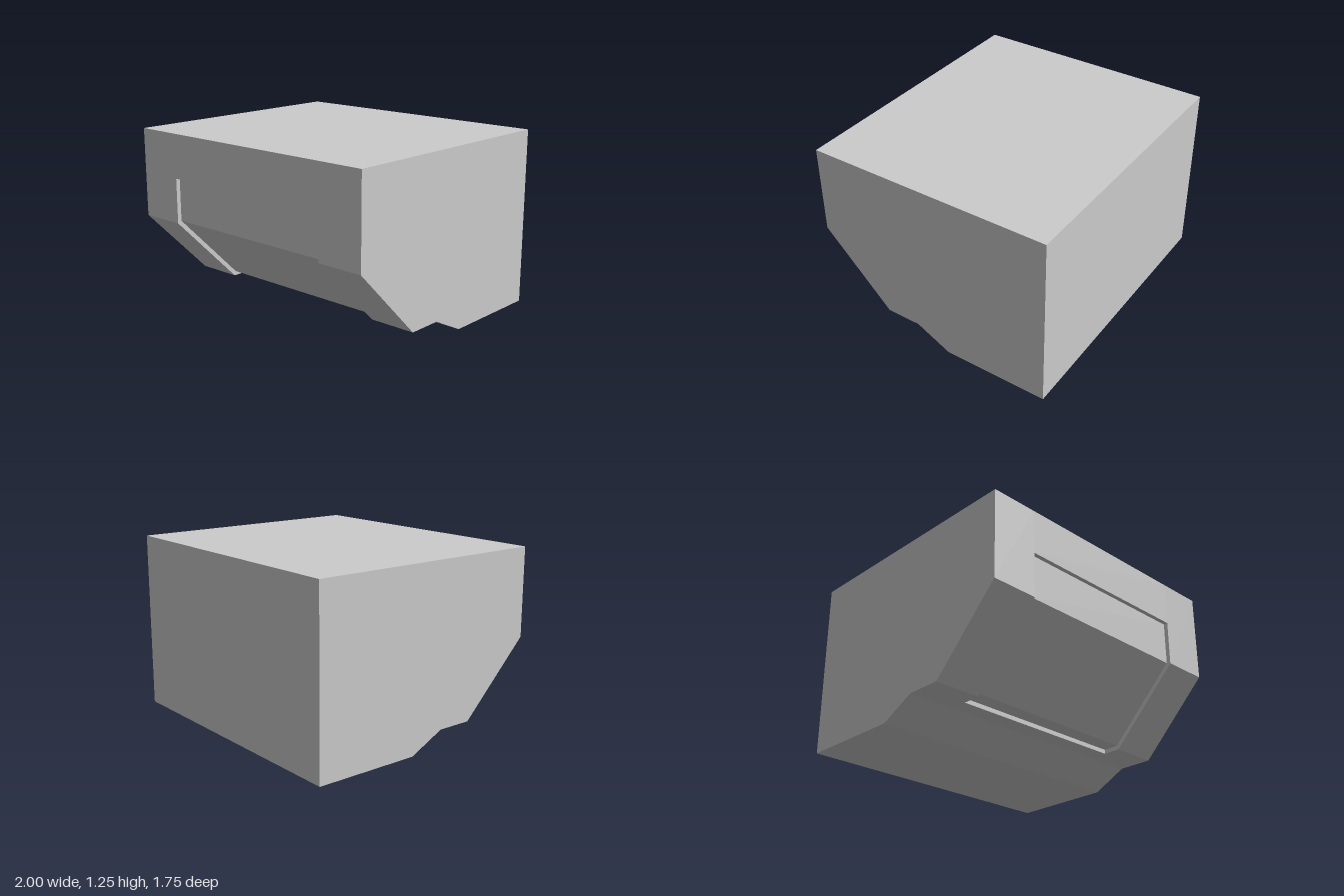
import * as THREE from 'three';

const material = new THREE.MeshStandardMaterial({ color: 0xcccccc, flatShading: true });

// Extrudes a side profile of [z, y] points across the width, centred on x
function slab(name, profile, width, x) {
  const shape = new THREE.Shape(profile.map(([z, y]) => new THREE.Vector2(z, y)));
  const geometry = new THREE.ExtrudeGeometry(shape, { depth: width, bevelEnabled: false });
  geometry.translate(0, 0, -width / 2);
  geometry.rotateY(-Math.PI / 2);
  const mesh = new THREE.Mesh(geometry, material);
  mesh.name = name;
  mesh.position.x = x;
  return mesh;
}

export function createModel() {
  const group = new THREE.Group();
  group.name = 'wedgeBlock';

  const back = 0.875, top = 1.25, inset = 0.03;
  const recessHalf = 0.665, cheek = 1 - recessHalf;

  // Shared rear, underside step and top
  const rear = [[0.125, 0.125], [-0.125, 0], [-back, 0], [-back, top], [back, top]];

  // Full profile with the sloping chin
  const outer = [...rear, [back, 0.625], [0.375, 0.125]];

  // Middle profile, with front, chin and underside set in by the same depth
  const slope = 0.25 - inset * Math.SQRT2;
  const recessed = [
    ...rear,
    [back, 0.94], [back - inset, 0.94],
    [back - inset, back - inset - slope],
    [0.125 + inset + slope, 0.125 + inset],
    [0.25, 0.125 + inset], [0.25, 0.125],
  ];

  group.add(slab('recessedMiddle', recessed, recessHalf * 2, 0));
  for (const side of [-1, 1]) {
    const name = side > 0 ? 'leftCheek' : 'rightCheek';
    group.add(slab(name, outer, cheek, side * (1 - cheek / 2)));
  }
  return group;
}
